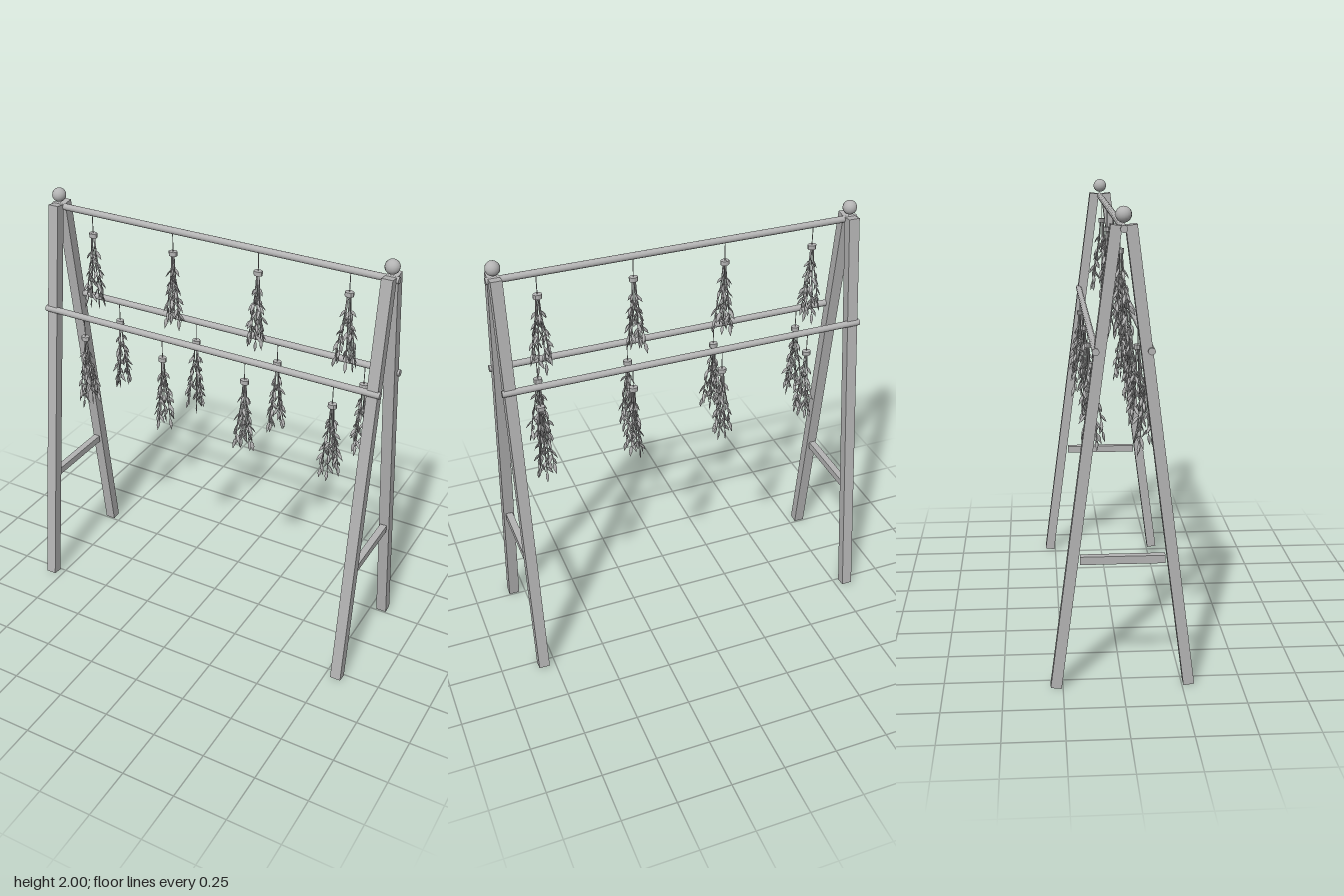
import * as THREE from 'three';
import { mergeGeometries } from 'three/addons/utils/BufferGeometryUtils.js';

const UP = new THREE.Vector3(0, 1, 0);

// small seeded generator so that every bundle differs but stays fixed
function seeded(seed) {
  let s = seed * 7919 + 13;
  return () => (s = (s * 16807) % 2147483647) / 2147483647;
}

export function createModel() {
  const root = new THREE.Group();
  root.name = 'herbDryingRack';
  const grey = new THREE.MeshStandardMaterial({ color: 0xb4b4b4 });
  grey.name = 'grey';
  grey.flatShading = true;
  const smoothGrey = grey.clone();
  smoothGrey.flatShading = false;

  const add = (parent, name, geometry, x, y, z, material = grey) => {
    const mesh = new THREE.Mesh(geometry, material);
    mesh.name = name;
    mesh.position.set(x, y, z);
    parent.add(mesh);
    return mesh;
  };

  // A-shaped end frames
  const lean = Math.atan2(0.25, 1.925);
  const legGeo = new THREE.BoxGeometry(0.05, 1.94, 0.046);
  const braceGeo = new THREE.BoxGeometry(0.032, 0.034, 0.35);
  const ballGeo = new THREE.SphereGeometry(0.032, 16, 12);
  for (const side of [-1, 1]) {
    const frame = new THREE.Group();
    frame.name = side > 0 ? 'leftFrame' : 'rightFrame';
    frame.position.x = side * 0.805;
    root.add(frame);
    for (const dir of [1, -1]) {
      const leg = add(frame, dir > 0 ? 'frontLeg' : 'backLeg', legGeo, 0, 0.968, dir * 0.154);
      leg.rotation.x = -dir * lean;
    }
    add(frame, 'crossBrace', braceGeo, 0, 0.568, 0);
    add(frame, 'finial', ballGeo, 0, 1.968, 0, smoothGrey);
  }

  // horizontal rails
  const railGeo = new THREE.CylinderGeometry(0.015, 0.015, 1.68, 12).rotateZ(Math.PI / 2);
  const rails = [
    { name: 'topRail', y: 1.915, z: 0, shift: 0 },
    { name: 'frontRail', y: 1.44, z: 0.11, shift: 0 },
    { name: 'backRail', y: 1.44, z: -0.11, shift: 0.05 },
  ];

  // pointed, flattened leaf growing along +y from its base
  const leafProfile = [[0, 0], [0.0075, 0.016], [0.008, 0.03], [0, 0.054]].map((p) => new THREE.Vector2(...p));
  const leafGeo = new THREE.LatheGeometry(leafProfile, 6).scale(1, 1, 0.4);

  // one hanging bunch: spreading stems with leaves, hanging from the origin
  function foliage(seed) {
    const rnd = seeded(seed);
    for (let i = 0; i < 5; i++) rnd();
    const stems = [];
    const leaves = [];
    const count = 6;
    for (let i = 0; i < count; i++) {
      const a = ((i + rnd() * 0.7) / count) * Math.PI * 2;
      const r = 0.022 + rnd() * 0.026;
      const drop = 0.27 + rnd() * 0.045;
      const at = (k, y) => new THREE.Vector3(Math.cos(a) * r * k, y, Math.sin(a) * r * k);
      const path = new THREE.CatmullRomCurve3([at(0.15, 0.01), at(0.35, -drop * 0.35), at(0.75, -drop * 0.7), at(1, -drop)]);
      stems.push(new THREE.TubeGeometry(path, 6, 0.0027, 4));
      const perStem = 9;
      for (let j = 0; j < perStem; j++) {
        const t = 0.24 + (0.76 * j) / (perStem - 1);
        const az = a + j * 2.4 + rnd() * 0.6;
        const flare = j === perStem - 1 ? 0.1 : 0.3 + rnd() * 0.4;
        const dir = path.getTangent(t);
        dir.x += Math.cos(az) * flare;
        dir.z += Math.sin(az) * flare;
        const turn = new THREE.Quaternion().setFromUnitVectors(UP, dir.normalize());
        turn.multiply(new THREE.Quaternion().setFromAxisAngle(UP, rnd() * Math.PI));
        const size = 0.7 + 0.25 * t + rnd() * 0.2;
        const matrix = new THREE.Matrix4().compose(path.getPoint(t), turn, new THREE.Vector3(size, size, size));
        leaves.push(leafGeo.clone().applyMatrix4(matrix));
      }
    }
    return { stems: mergeGeometries(stems), leaves: mergeGeometries(leaves) };
  }

  // rails and their four bunches each
  const cordGeo = new THREE.CylinderGeometry(0.002, 0.002, 0.11, 5);
  const tieGeo = new THREE.CylinderGeometry(0.02, 0.02, 0.02, 10).scale(1, 1, 0.8);
  rails.forEach((rail, row) => {
    add(root, rail.name, railGeo, 0, rail.y, rail.z, smoothGrey);
    for (let i = 0; i < 4; i++) {
      const bunch = new THREE.Group();
      bunch.name = 'herbBunch';
      bunch.position.set(-0.63 + i * 0.42 + rail.shift, rail.y - 0.107, rail.z);
      root.add(bunch);
      add(bunch, 'cord', cordGeo, 0, 0.052, 0);
      add(bunch, 'tie', tieGeo, 0, 0, 0);
      const { stems, leaves } = foliage(row * 4 + i + 1);
      add(bunch, 'stems', stems, 0, 0, 0);
      add(bunch, 'leaves', leaves, 0, 0, 0);
    }
  });
  return root;
}
